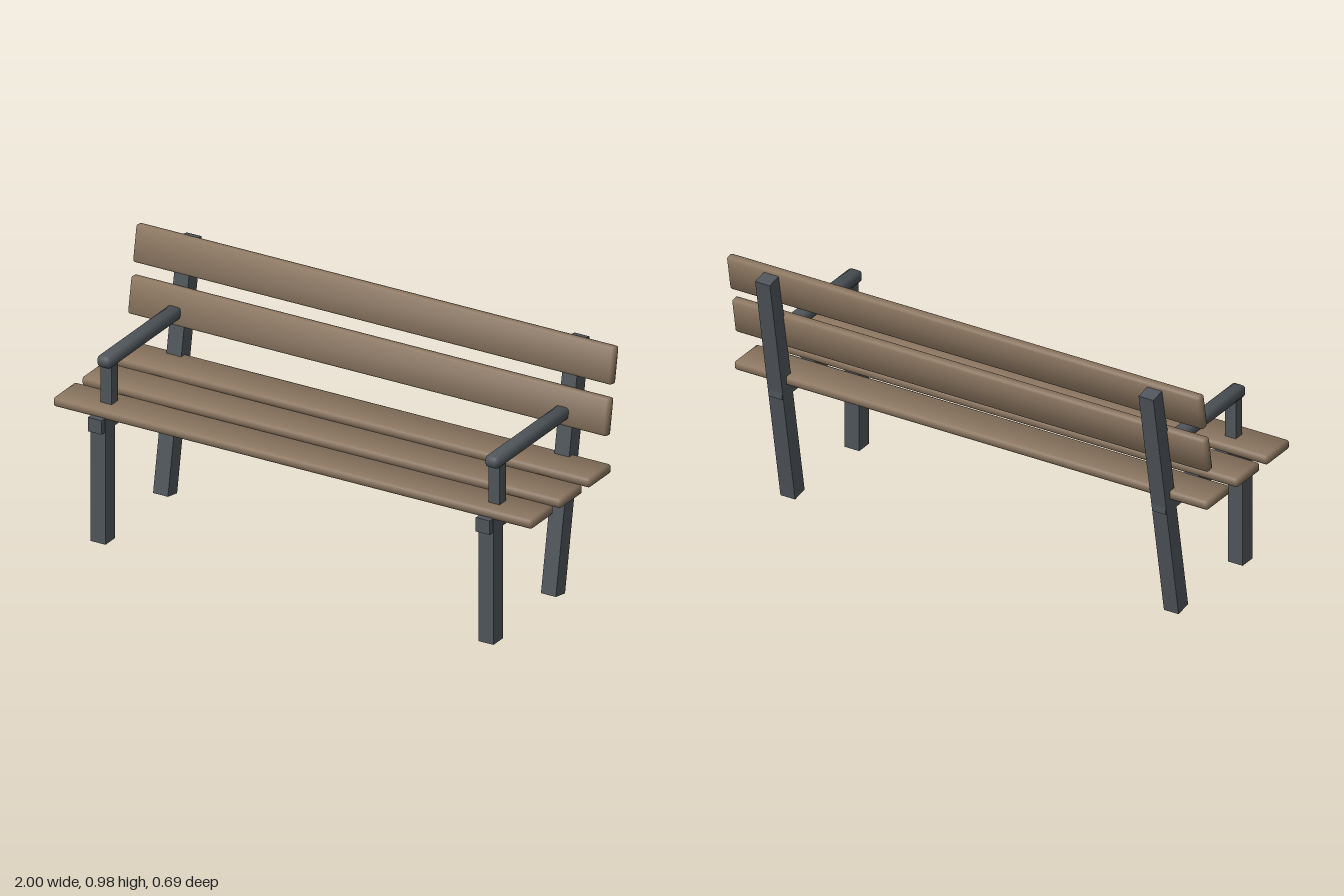
import * as THREE from 'three';
import { RoundedBoxGeometry } from 'three/addons/geometries/RoundedBoxGeometry.js';

const TILT = -THREE.MathUtils.degToRad(10.2);

// Rounded bar whose normals fan out softly towards its edges
function softBar(w, h, d, radius) {
  const geo = new RoundedBoxGeometry(w, h, d, 2, radius);
  const inset = radius * 1.7;
  const core = new THREE.Vector3(w / 2 - inset, h / 2 - inset, d / 2 - inset);
  const low = core.clone().negate();
  const p = new THREE.Vector3(), c = new THREE.Vector3();
  const { position, normal } = geo.attributes;
  for (let i = 0; i < position.count; i++) {
    p.fromBufferAttribute(position, i);
    c.copy(p).clamp(low, core);
    p.sub(c).normalize();
    normal.setXYZ(i, p.x, p.y, p.z);
  }
  return geo;
}

export function createModel() {
  const bench = new THREE.Group();
  bench.name = 'bench';

  const wood = new THREE.MeshStandardMaterial({ color: 0x8b7660 });
  wood.name = 'brown wood';
  const metal = new THREE.MeshStandardMaterial({ color: 0x4f555a });
  metal.name = 'dark grey metal';

  const add = (parent, name, geo, mat, x, y, z, tilt = 0) => {
    const mesh = new THREE.Mesh(geo, mat);
    mesh.name = name;
    mesh.position.set(x, y, z);
    mesh.rotation.x = tilt;
    parent.add(mesh);
  };

  // Seat slats
  const seat = new THREE.Group();
  seat.name = 'seat';
  const seatSlat = softBar(2, 0.036, 0.154, 0.01);
  for (const z of [0.244, 0.043, -0.158]) add(seat, 'seatSlat', seatSlat, wood, 0, 0.512, z);
  bench.add(seat);

  // Backrest slats, leaning with the rear posts
  const backrest = new THREE.Group();
  backrest.name = 'backrest';
  const backSlat = softBar(2, 0.143, 0.035, 0.01);
  add(backrest, 'upperBackSlat', backSlat, wood, 0, 0.909, -0.26, TILT);
  add(backrest, 'lowerBackSlat', backSlat, wood, 0, 0.719, -0.225, TILT);
  bench.add(backrest);

  // Side frames
  const legGeo = new THREE.BoxGeometry(0.062, 0.5, 0.065);
  const rearGeo = new THREE.BoxGeometry(0.062, 0.964, 0.065);
  const railGeo = new THREE.BoxGeometry(0.058, 0.055, 0.605);
  const postGeo = new THREE.BoxGeometry(0.046, 0.185, 0.043);
  const armGeo = softBar(0.056, 0.045, 0.535, 0.013);
  for (const side of [1, -1]) {
    const frame = new THREE.Group();
    frame.name = side > 0 ? 'leftFrame' : 'rightFrame';
    frame.position.x = side * 0.81;
    add(frame, 'frontLeg', legGeo, metal, 0, 0.25, 0.289);
    add(frame, 'rearLeg', rearGeo, metal, 0, 0.482, -0.229, TILT);
    add(frame, 'seatRail', railGeo, metal, 0, 0.4725, 0.0425);
    add(frame, 'armPost', postGeo, metal, 0, 0.5925, 0.244);
    add(frame, 'armrest', armGeo, metal, 0, 0.699, 0.02);
    bench.add(frame);
  }
  return bench;
}
